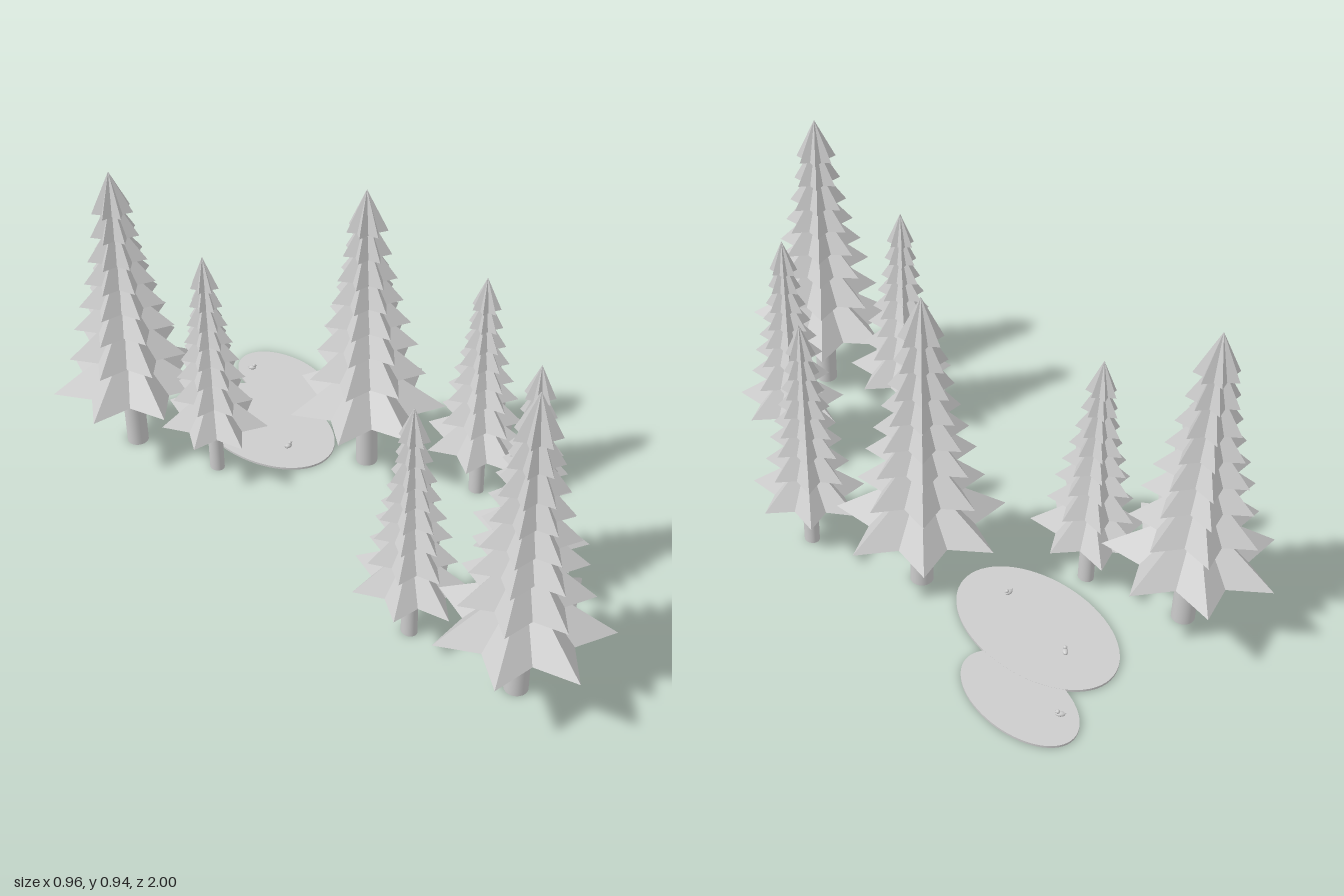
import * as THREE from 'three';

const grey = new THREE.MeshStandardMaterial({ color: 0xcccccc });
grey.name = 'pale grey';

function add(parent, name, geometry, x = 0, y = 0, z = 0) {
  const mesh = new THREE.Mesh(geometry, grey);
  mesh.name = name;
  mesh.position.set(x, y, z);
  parent.add(mesh);
  return mesh;
}

// Seven-pointed star pyramid standing on y = 0, one point along +x
function starCone(radius, height) {
  const points = 7;
  const cone = new THREE.ConeGeometry(radius, height, points * 2, 1, false, Math.PI / 2);
  cone.translate(0, height / 2, 0);
  const p = cone.attributes.position;
  for (let i = 0; i < p.count; i++) {
    if (Math.hypot(p.getX(i), p.getZ(i)) < radius * 0.5) continue;
    const step = Math.round(Math.atan2(p.getZ(i), p.getX(i)) / (Math.PI / points));
    const s = step % 2 === 0 ? 1 : 0.62; // valleys between the points
    p.setX(i, p.getX(i) * s);
    p.setZ(i, p.getZ(i) * s);
  }
  const flat = cone.toNonIndexed();
  flat.computeVertexNormals();
  return flat;
}

// Branch tiers: base height, point radius, cone height
const TIERS = [
  [0.228, 0.24, 0.16], [0.343, 0.178, 0.152], [0.445, 0.153, 0.135], [0.52, 0.13, 0.132],
  [0.595, 0.107, 0.13], [0.667, 0.089, 0.128], [0.745, 0.072, 0.126], [0.82, 0.061, 0.125],
];

function tree(name, x, z, scale) {
  const g = new THREE.Group();
  g.name = name;
  add(g, 'trunk', new THREE.CylinderGeometry(0.033, 0.033, 0.25, 24), 0, 0.125, 0);
  for (const [y, r, h] of TIERS) add(g, 'branchTier', starCone(r, h), 0, y, 0);
  g.position.set(x, 0, z);
  g.scale.set(...scale);
  return g;
}

// Small floating bird facing +x
function duck(x, z, turn) {
  const g = new THREE.Group();
  g.name = 'duck';
  add(g, 'body', new THREE.SphereGeometry(0.01, 16, 10), 0, 0.005, 0).scale.set(1.3, 0.65, 0.8);
  add(g, 'head', new THREE.SphereGeometry(0.0058, 12, 8), 0.007, 0.013, 0);
  add(g, 'beak', new THREE.ConeGeometry(0.0025, 0.007, 8), 0.0145, 0.0125, 0).rotation.z = -Math.PI / 2;
  const tail = add(g, 'tail', new THREE.ConeGeometry(0.004, 0.009, 8), -0.013, 0.008, 0);
  tail.rotation.z = 1.0;
  g.position.set(x, 0.006, z);
  g.rotation.y = turn;
  return g;
}

export function createModel() {
  const model = new THREE.Group();
  model.name = 'woodlandPond';

  // Trees
  for (const [x, z] of [[-0.265, -0.765], [0.185, -0.185], [-0.195, 0.765]])
    model.add(tree('largeTree', x, z, [1, 1, 1]));
  for (const [x, z] of [[-0.172, -0.482], [0.323, 0.15], [-0.25, 0.43], [0.109, 0.527]])
    model.add(tree('smallTree', x, z, [0.64, 0.794, 0.74]));

  // Pond of two overlapping ovals
  for (const [x, z, rx, rz, h] of [[0.072, -0.535, 0.172, 0.267, 0.007], [0.281, -0.69, 0.113, 0.19, 0.0066]]) {
    const oval = add(model, 'pond', new THREE.CylinderGeometry(1, 1, h, 64), x, h / 2, z);
    oval.scale.set(rx, 1, rz);
  }

  // Ducks on the water
  model.add(duck(0.045, -0.395, 0), duck(0.082, -0.657, Math.PI * 1.28), duck(0.243, -0.803, -0.75));
  return model;
}
